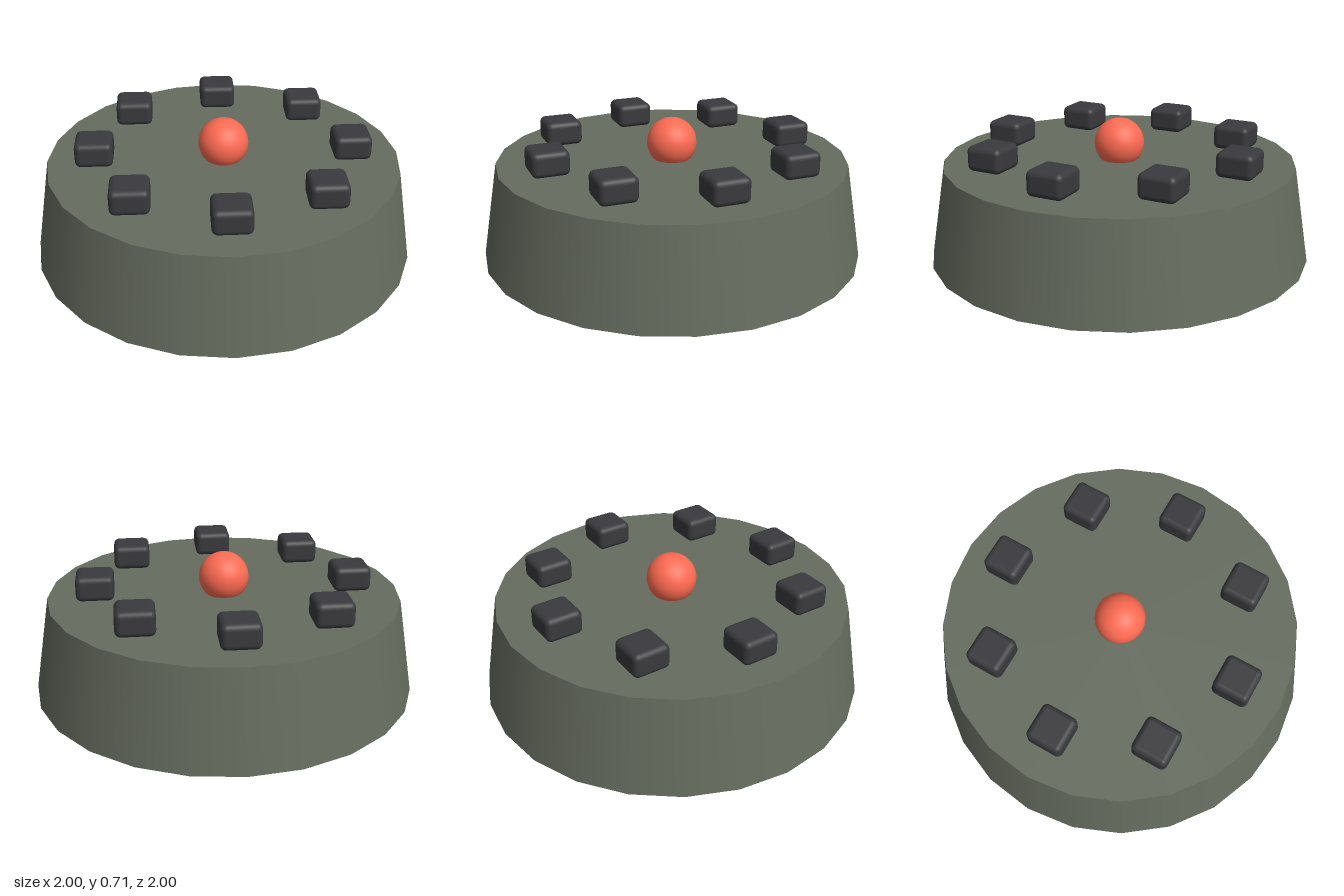
import * as THREE from 'three';
import { RoundedBoxGeometry } from 'three/addons/geometries/RoundedBoxGeometry.js';

const BASE_HEIGHT = 0.5;
const PAD_COUNT = 8;
const PAD_RING_RADIUS = 0.667;
const PAD_WIDTH = 0.195;
const PAD_HEIGHT = 0.13;

export function createModel() {
  const model = new THREE.Group();
  model.name = 'roundPedestal';

  const add = (name, geometry, material, x, y, z) => {
    const mesh = new THREE.Mesh(geometry, material);
    mesh.name = name;
    mesh.position.set(x, y, z);
    model.add(mesh);
  };

  const baseMaterial = new THREE.MeshStandardMaterial({ color: 0x666c5f });
  const padMaterial = new THREE.MeshStandardMaterial({ color: 0x3a3a3e });
  const ballMaterial = new THREE.MeshStandardMaterial({ color: 0xff6b52 });

  // Tapered drum
  add('base', new THREE.CylinderGeometry(0.915, 1, BASE_HEIGHT, 24), baseMaterial, 0, BASE_HEIGHT / 2, 0);

  // Ball sunk slightly into the middle of the top
  add('centreBall', new THREE.SphereGeometry(0.13, 24, 16), ballMaterial, 0, 0.585, 0);

  // Ring of rounded blocks, all square to the axes
  const padGeometry = new RoundedBoxGeometry(PAD_WIDTH, PAD_HEIGHT, PAD_WIDTH, 3, 0.03);
  for (let i = 0; i < PAD_COUNT; i++) {
    const angle = (i / PAD_COUNT) * Math.PI * 2;
    add(`pad${i + 1}`, padGeometry, padMaterial,
      Math.sin(angle) * PAD_RING_RADIUS, BASE_HEIGHT + 0.068, Math.cos(angle) * PAD_RING_RADIUS);
  }

  return model;
}
